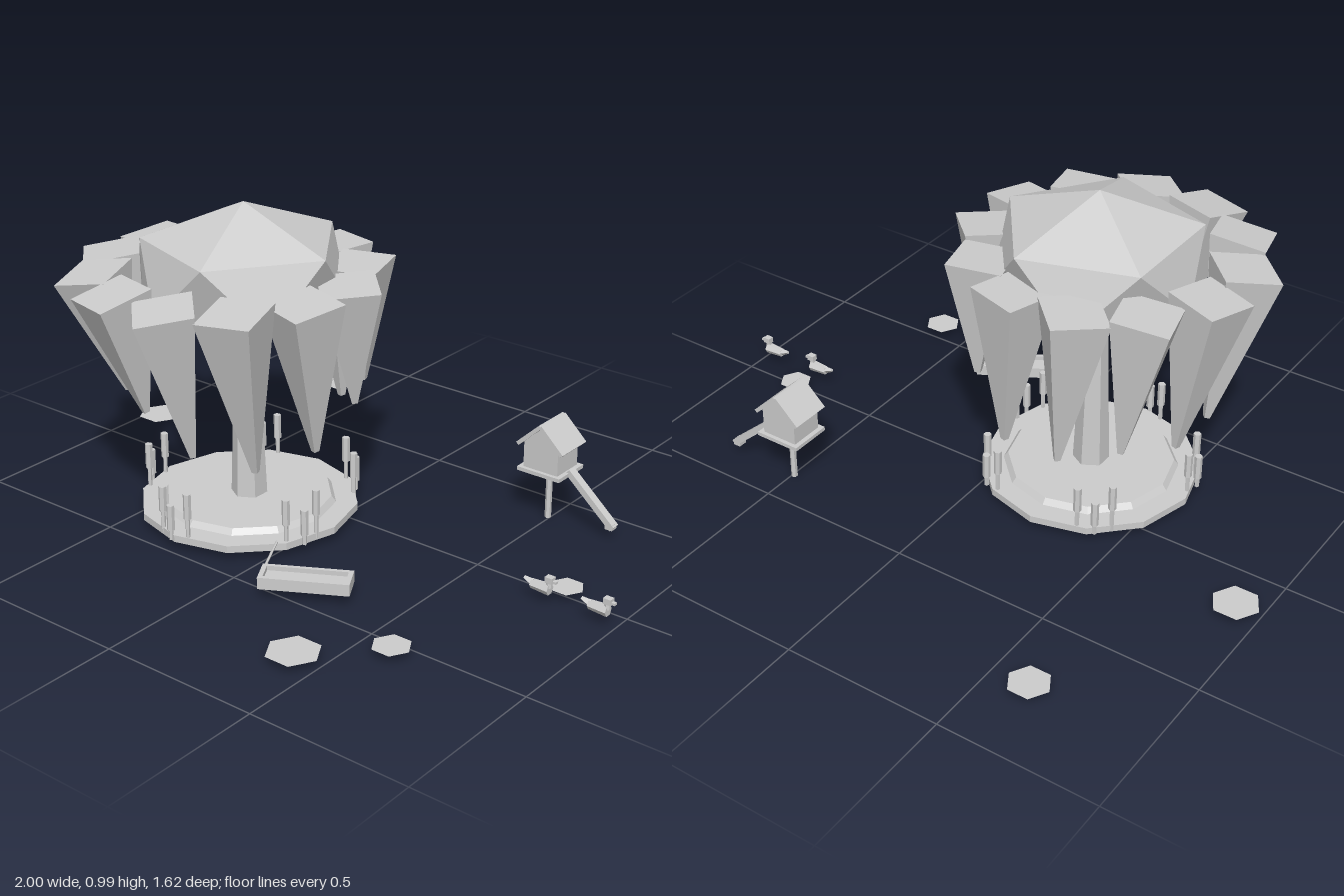
import * as THREE from 'three';
import { ConvexGeometry } from 'three/addons/geometries/ConvexGeometry.js';

const CX = -0.25, CZ = 0.147; // willow centre

export function createModel() {
  const root = new THREE.Group();
  const grey = new THREE.MeshStandardMaterial({ color: 0xcccccc, flatShading: true, side: THREE.DoubleSide });
  grey.name = 'plainGrey';

  function add(parent, name, geo, x = 0, y = 0, z = 0) {
    const g = geo.index ? geo.toNonIndexed() : geo;
    g.computeVertexNormals();
    const m = new THREE.Mesh(g, grey);
    m.name = name;
    m.position.set(x, y, z);
    parent.add(m);
    return m;
  }
  function group(name, x = 0, y = 0, z = 0, parent = root) {
    const g = new THREE.Group();
    g.name = name;
    g.position.set(x, y, z);
    parent.add(g);
    return g;
  }
  const box = (w, h, d) => new THREE.BoxGeometry(w, h, d);
  const cyl = (rt, rb, h, n) => new THREE.CylinderGeometry(rt, rb, h, n);
  const up = new THREE.Vector3(0, 1, 0);

  // Tapered bar running between two points
  function bar(parent, name, a, b, ra, rb, sides, yaw = 0) {
    const d = b.clone().sub(a);
    const m = add(parent, name, cyl(rb, ra, d.length(), sides));
    m.position.copy(a).add(b).multiplyScalar(0.5);
    m.quaternion.setFromUnitVectors(up, d.normalize());
    m.quaternion.multiply(new THREE.Quaternion().setFromAxisAngle(up, yaw));
    return m;
  }

  // Two-step island
  const island = group('island', CX, 0, CZ);
  add(island, 'islandBase', cyl(0.335, 0.335, 0.022, 12), 0, 0.036, 0);
  add(island, 'islandTop', cyl(0.255, 0.27, 0.02, 12), 0, 0.055, 0);

  // Willow trunk and squashed twelve-point crown
  const willow = group('willow', CX, 0, CZ);
  add(willow, 'trunk', cyl(0.034, 0.056, 0.58, 6), 0, 0.345, 0);
  const points = [new THREE.Vector3(0, 0.99, 0), new THREE.Vector3(0, 0.574, 0)];
  for (let i = 0; i < 5; i++) {
    for (const [y, turn] of [[0.875, 0], [0.689, Math.PI / 5]]) {
      const a = i * Math.PI * 0.4 + turn;
      points.push(new THREE.Vector3(0.305 * Math.cos(a), y, 0.305 * Math.sin(a)));
    }
  }
  add(willow, 'crown', new ConvexGeometry(points));

  // Hanging square fronds tapering to a narrow tip
  const tips = [0.33, 0.295, 0.33, 0.42, 0.42, 0.295, 0.295, 0.33, 0.295, 0.295, 0.42, 0.42];
  tips.forEach((tipY, k) => {
    const a = Math.PI / 12 + k * Math.PI / 6, c = Math.cos(a), s = Math.sin(a);
    const tip = new THREE.Vector3(0.35 * c, tipY, 0.35 * s);
    const top = new THREE.Vector3(0.385 * c - 0.027, 0.797, 0.385 * s + 0.048);
    bar(willow, 'frond', tip, top, 0.012, 0.12, 4, (k - 2) * Math.PI / 6);
  });

  // Reed clusters round the shore
  for (let i = 0; i < 5; i++) {
    const cluster = group('reedCluster', CX, 0, CZ);
    [0.187, 0.142, 0.18].forEach((h, j) => {
      const a = (20 + 72 * i) * Math.PI / 180 + (j - 1) * 0.16;
      const r = 0.32 + (j === 1 ? 0.015 : 0);
      const x = r * Math.cos(a), z = r * Math.sin(a);
      add(cluster, 'reedStem', cyl(0.007, 0.007, h - 0.06, 5), x, 0.03 + (h - 0.06) / 2, z);
      add(cluster, 'reedHead', cyl(0.012, 0.012, 0.08, 6), x, h - 0.04, z);
    });
  }

  // Moored boat with raised rim
  const boat = group('boat', 0.228, 0, 0.452);
  boat.rotation.y = 0.51;
  add(boat, 'hull', box(0.262, 0.022, 0.085), 0, 0.044, 0);
  for (const s of [-1, 1]) {
    add(boat, 'sideRim', box(0.262, 0.015, 0.012), 0, 0.0615, s * 0.0365);
    add(boat, 'endRim', box(0.014, 0.015, 0.085), s * 0.124, 0.0615, 0);
  }
  bar(root, 'mooringRope', new THREE.Vector3(0.035, 0.066, 0.35),
    new THREE.Vector3(0.1, 0.066, 0.475), 0.004, 0.004, 5);

  // Little house on a post with a ramp
  const house = group('birdhouse', 0.493, 0, -0.383);
  add(house, 'post', cyl(0.01, 0.01, 0.165, 6), 0, 0.0825, 0);
  add(house, 'platform', box(0.15, 0.012, 0.135), 0, 0.168, 0);
  const wall = new THREE.Shape([[-0.06, 0], [0.06, 0], [0.06, 0.085], [0, 0.138], [-0.06, 0.085]]
    .map(([x, y]) => new THREE.Vector2(x, y)));
  add(house, 'walls', new THREE.ExtrudeGeometry(wall, { depth: 0.11, bevelEnabled: false }), 0, 0.174, -0.055);
  for (const s of [-1, 1]) {
    const roof = add(house, 'roofPanel', box(0.108, 0.012, 0.132), s * 0.039, 0.285, 0);
    roof.rotation.z = -s * 0.76;
  }
  const ramp = add(house, 'ramp', box(0.215, 0.02, 0.028), 0.15, 0.107, 0);
  ramp.rotation.z = -0.72;
  add(house, 'rampEnd', box(0.025, 0.018, 0.028), 0.22, 0.04, 0);

  // Two ducks facing +x
  for (const x of [0.755, 0.943]) {
    const duck = group('duck', x, 0, 0.068);
    const body = add(duck, 'body', cyl(0.018, 0.014, 0.06, 6), 0.005, 0.049, 0);
    body.rotation.z = -Math.PI / 2;
    bar(duck, 'tail', new THREE.Vector3(-0.022, 0.052, 0), new THREE.Vector3(-0.05, 0.06, 0), 0.013, 0.006, 4);
    add(duck, 'neck', cyl(0.009, 0.01, 0.025, 6), 0.032, 0.067, 0);
    add(duck, 'head', box(0.024, 0.018, 0.02), 0.034, 0.08, 0);
    add(duck, 'beak', box(0.014, 0.007, 0.012), 0.05, 0.077, 0);
  }

  // Flat six-sided lily pads
  const pads = [[-0.627, -0.757, 0.065], [-0.925, -0.163, 0.073], [0.797, -0.01, 0.052],
    [0.605, 0.55, 0.058], [0.42, 0.735, 0.08]];
  for (const [x, z, r] of pads) {
    add(root, 'lilyPad', new THREE.CircleGeometry(r, 6).rotateX(-Math.PI / 2), x, 0.027, z);
  }
  return root;
}
